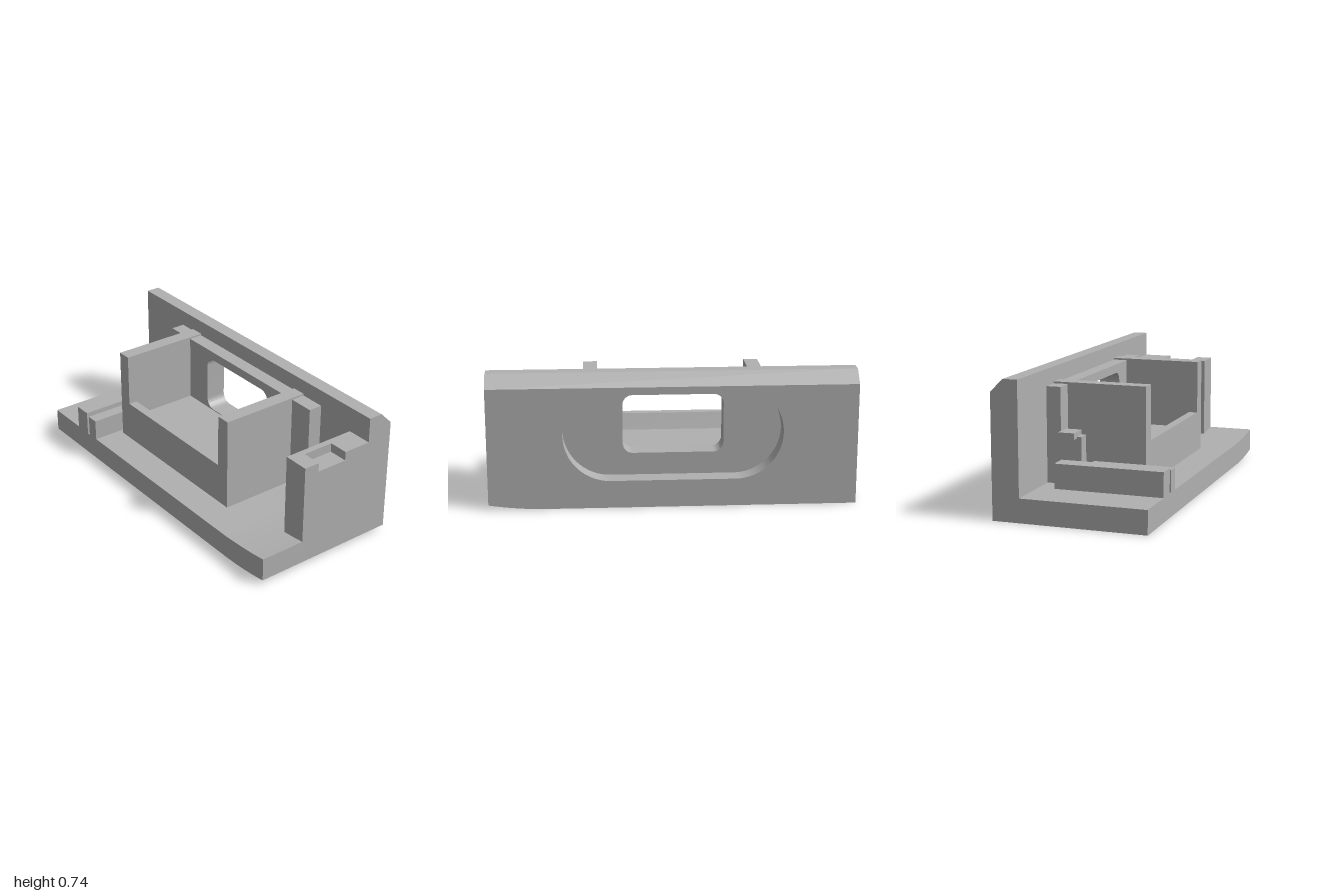
import * as THREE from 'three';
import { toCreasedNormals } from 'three/addons/utils/BufferGeometryUtils.js';

export function createModel() {
  const group = new THREE.Group();
  const grey = new THREE.MeshStandardMaterial({ color: 0xb0b0b0 });
  grey.name = 'plain grey';

  const add = (name, geometry) => {
    const mesh = new THREE.Mesh(geometry, grey);
    mesh.name = name;
    group.add(mesh);
  };
  // Box given by its limits on each axis
  const box = (name, x0, x1, y0, y1, z0, z1) => add(name,
    new THREE.BoxGeometry(x1 - x0, y1 - y0, z1 - z0)
      .translate((x0 + x1) / 2, (y0 + y1) / 2, (z0 + z1) / 2));
  const extrude = (shape, depth) => toCreasedNormals(
    new THREE.ExtrudeGeometry(shape, { depth, bevelEnabled: false, curveSegments: 20 }), 0.5);
  // Front outline extruded along z
  const alongZ = (name, shape, z0, z1) => add(name, extrude(shape, z1 - z0).translate(0, 0, z0));
  // Side outline of [z, y] points extruded along x
  const alongX = (name, points, x0, x1) => add(name,
    extrude(new THREE.Shape(points.map(p => new THREE.Vector2(...p))), x1 - x0)
      .rotateY(-Math.PI / 2).translate(x1, 0, 0));
  const rounded = (Type, x0, x1, y0, y1, r) => {
    const s = new Type();
    s.moveTo(x0 + r, y0);
    s.lineTo(x1 - r, y0);
    s.absarc(x1 - r, y0 + r, r, -Math.PI / 2, 0);
    s.absarc(x1 - r, y1 - r, r, 0, Math.PI / 2);
    s.absarc(x0 + r, y1 - r, r, Math.PI / 2, Math.PI);
    s.absarc(x0 + r, y0 + r, r, Math.PI, Math.PI * 1.5);
    return s;
  };
  const panel = (x0, x1, y0, y1, hole) => {
    const s = new THREE.Shape([[x0, y0], [x1, y0], [x1, y1], [x0, y1]]
      .map(p => new THREE.Vector2(...p)));
    s.holes.push(hole);
    return s;
  };
  const windowHole = () => rounded(THREE.Path, -0.28, 0.27, 0.275, 0.6, 0.055);

  // Base plate, curving up gently at the left end
  const base = new THREE.Shape();
  base.moveTo(-1, 0);
  base.lineTo(0.7, 0);
  base.quadraticCurveTo(0.85, 0.002, 1, 0.027);
  base.lineTo(1, 0.157);
  base.quadraticCurveTo(0.85, 0.135, 0.68, 0.13);
  base.lineTo(-1, 0.13);
  alongZ('basePlate', base, -0.42, 0.42);

  // Back wall: recessed outer layer, inner layer with window, chamfered cap
  alongZ('backWallRecess', panel(-1, 1, 0.13, 0.67,
    rounded(THREE.Path, -0.595, 0.595, 0.152, 0.668, 0.258)), -0.42, -0.31);
  alongZ('backWallInner', panel(-1, 1, 0.13, 0.67, windowHole()), -0.31, -0.27);
  alongX('backWallCap', [[-0.27, 0.67], [-0.27, 0.74], [-0.35, 0.74], [-0.42, 0.67]], -1, 1);

  // Frame around the window
  alongZ('windowFrame', panel(-0.63, 0.625, 0.13, 0.65, windowHole()), -0.27, -0.19);

  // Tray between two upright walls
  for (const x of [-0.53, 0.4]) box('trayWall', x, x + 0.08, 0.13, 0.66, -0.27, 0.25);
  alongX('trayFloor', [[-0.19, 0.13], [0.25, 0.13], [0.25, 0.36], [0.2, 0.36],
    [0.165, 0.27], [-0.19, 0.27]], -0.45, 0.4);

  // End block with an open pocket in its top
  box('endBlock', 0.855, 1, 0.13, 0.55, -0.27, 0.16);
  box('endBlockBack', 0.855, 1, 0.55, 0.6, -0.27, -0.11);
  box('endBlockFront', 0.855, 1, 0.55, 0.6, 0.07, 0.16);
  box('endBlockLip', 0.855, 0.89, 0.55, 0.6, -0.11, 0.07);

  // Rails and hooked post
  box('outerRail', -0.75, -0.65, 0.13, 0.265, -0.18, 0.42);
  box('innerRail', -0.63, -0.56, 0.13, 0.25, -0.03, 0.42);
  box('post', -0.63, -0.56, 0.13, 0.39, -0.19, -0.075);
  box('postHook', -0.67, -0.56, 0.38, 0.415, -0.19, -0.1);

  return group;
}
